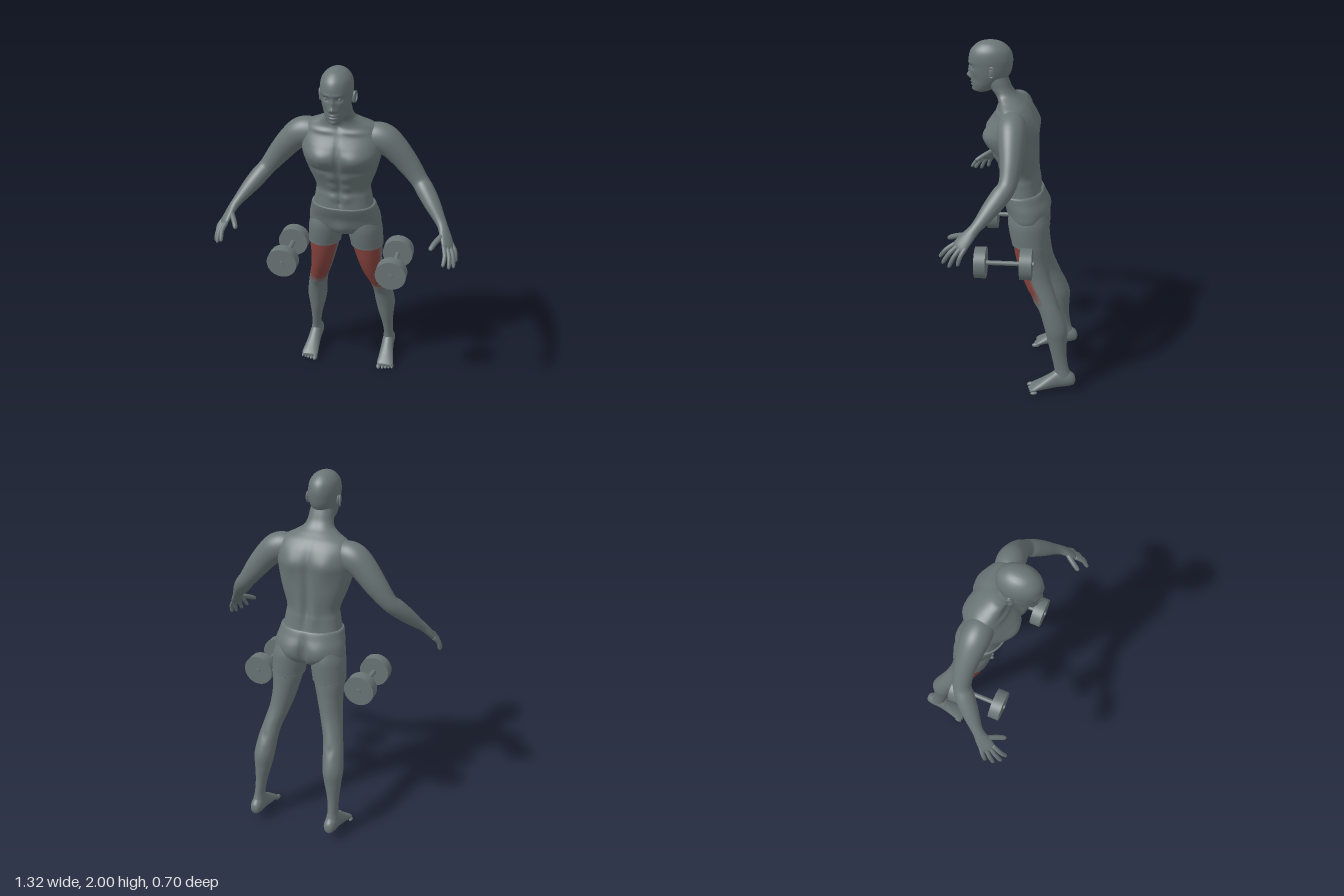
import * as THREE from 'three';

const mat = (name, color) => Object.assign(new THREE.MeshStandardMaterial({ color }), { name });
const V3 = (a) => new THREE.Vector3(...a);
const clamp01 = (v) => Math.min(1, Math.max(0, v));

// Catmull-Rom interpolation of section rows [x, y, z, halfWidth, halfDepth]
function refine(rows, steps) {
  const out = [], at = (i) => rows[Math.min(rows.length - 1, Math.max(0, i))];
  for (let i = 0; i < rows.length - 1; i++) {
    const [p, q, r, s] = [at(i - 1), at(i), at(i + 1), at(i + 2)];
    for (let k = 0; k < steps; k++) {
      const t = k / steps;
      out.push(q.map((_, c) => {
        const v = q[c] + 0.5 * t * (r[c] - p[c] + t * (2 * p[c] - 5 * q[c] + 4 * r[c] - s[c]
          + t * (3 * (q[c] - r[c]) + s[c] - p[c])));
        return c > 2 ? Math.max(0.001, v) : v;
      }));
    }
  }
  out.push(rows[rows.length - 1]);
  return out;
}

// Smooth skin over elliptical sections. With axis, sections are parallel; otherwise they follow the path.
function loft(rows, { axis, ref = [1, 0, 0], n = 32, steps = 5, e = 2, bumps = [], pick } = {}) {
  const rings = refine(rows, steps), m = rings.length, pos = [], buckets = [[], [], [], []];
  const sp = (v) => Math.sign(v) * Math.abs(v) ** (2 / e);
  rings.forEach((r, i) => {
    const T = axis ? V3(axis) : V3(rings[Math.min(m - 1, i + 1)]).sub(V3(rings[Math.max(0, i - 1)])).normalize();
    const U = V3(ref).addScaledVector(T, -V3(ref).dot(T)).normalize();
    const W = T.clone().cross(U);
    for (let j = 0; j < n; j++) {
      const a = (j / n) * Math.PI * 2, s = Math.sin(a);
      const p = V3(r).addScaledVector(U, r[3] * sp(Math.cos(a))).addScaledVector(W, r[4] * sp(s));
      // muscle and face relief: [side, x, y, spreadX, spreadY, push]
      let dz = 0;
      for (const [side, bx, by, sx, sy, d] of bumps) {
        const g = Math.exp(-(((Math.abs(p.x) - bx) / sx) ** 2) - ((p.y - by) / sy) ** 2);
        dz += side * d * g * clamp01(s * side * 2.5);
      }
      pos.push(p.x, p.y, p.z + dz);
    }
  });
  for (let i = 0; i < m - 1; i++) for (let j = 0; j < n; j++) {
    const k = (j + 1) % n, a = i * n + j, b = i * n + k;
    const slot = pick ? pick(Math.sin(((j + 0.5) / n) * Math.PI * 2), rings[i][1]) : 0;
    buckets[slot].push(a, b, a + n, b, b + n, a + n);
  }
  // end caps
  const c0 = m * n;
  pos.push(...rings[0].slice(0, 3), ...rings[m - 1].slice(0, 3));
  for (let j = 0; j < n; j++) {
    const k = (j + 1) % n, l = (m - 1) * n;
    buckets[0].push(c0, k, j, c0 + 1, l + j, l + k);
  }
  const g = new THREE.BufferGeometry();
  g.setAttribute('position', new THREE.Float32BufferAttribute(pos, 3));
  g.setIndex(buckets.flat());
  let start = 0;
  if (pick) buckets.forEach((b, i) => { g.addGroup(start, b.length, i); start += b.length; });
  g.computeVertexNormals();
  return g;
}

// Copy reflected in x, with corner order restored
function mirrored(geo) {
  const g = geo.clone().scale(-1, 1, 1), ix = g.index;
  for (let i = 0; i < ix.count; i += 3) {
    const t = ix.getX(i);
    ix.setX(i, ix.getX(i + 1));
    ix.setX(i + 1, t);
  }
  g.computeVertexNormals();
  return g;
}

const ball = (r, p, s = [1, 1, 1], rot = 0) =>
  new THREE.SphereGeometry(r, 20, 14).scale(...s).rotateX(rot).translate(...p);
const digit = (a, b, c, r) => loft(
  [[...a, r, r], [...b, r, r], [...V3(b).lerp(V3(c), 0.8).toArray(), r * 0.85, r * 0.85], [...c, 0.002, 0.002]],
  { ref: [0.3, 0.2, 1], n: 12, steps: 4 });

export function createModel() {
  const model = new THREE.Group();
  model.name = 'figure';
  const skin = mat('greySkin', 0x6a7576);
  const tints = [skin, mat('faintRed', 0x716664), mat('midRed', 0x7a5450), mat('muscleRed', 0x84423d)];
  const add = (name, geo, material = skin) => {
    const mesh = new THREE.Mesh(geo, material);
    mesh.name = name;
    model.add(mesh);
  };
  const both = (name, geo, material) => {
    add(name + 'Left', geo, material);
    add(name + 'Right', mirrored(geo), material);
  };
  const down = [0, -1, 0];

  // head, with brow, eye sockets, nose, lips and chin
  add('head', loft([
    [0, 2.0, 0.14, 0.002, 0.002], [0, 1.995, 0.14, 0.027, 0.04], [0, 1.98, 0.14, 0.053, 0.073],
    [0, 1.95, 0.14, 0.075, 0.103], [0, 1.91, 0.14, 0.083, 0.115], [0, 1.87, 0.14, 0.081, 0.113],
    [0, 1.83, 0.143, 0.076, 0.105], [0, 1.79, 0.155, 0.065, 0.089], [0, 1.76, 0.17, 0.052, 0.069],
    [0, 1.735, 0.188, 0.034, 0.042], [0, 1.725, 0.193, 0.012, 0.015],
  ], { axis: down, n: 88, steps: 8, bumps: [
    [1, 0, 1.84, 0.01, 0.026, 0.01], [1, 0, 1.815, 0.013, 0.012, 0.018], [1, 0.014, 1.808, 0.008, 0.008, 0.008],
    [1, 0.033, 1.866, 0.018, 0.012, -0.013], [1, 0.03, 1.888, 0.026, 0.008, 0.005],
    [1, 0, 1.782, 0.022, 0.005, 0.007], [1, 0, 1.766, 0.02, 0.005, 0.007], [1, 0, 1.774, 0.024, 0.003, -0.005],
    [1, 0, 1.74, 0.02, 0.012, 0.008], [1, 0.05, 1.8, 0.016, 0.02, -0.006],
  ] }));
  both('eye', ball(0.012, [0.033, 1.866, 0.224]));
  both('ear', ball(0.03, [0.083, 1.848, 0.128], [0.35, 1.05, 0.6], -0.2));
  both('earRim', new THREE.TorusGeometry(0.021, 0.005, 8, 24).scale(0.75, 1.25, 1)
    .rotateY(Math.PI / 2 - 0.3).translate(0.091, 1.85, 0.128));

  // torso and neck, with chest, abdominal and back relief
  const abs = [1.25, 1.315, 1.38].map((y) => [1, 0.038, y, 0.026, 0.024, 0.009]);
  add('torso', loft([
    [0, 1.84, 0.12, 0.058, 0.055], [0, 1.79, 0.103, 0.066, 0.058], [0, 1.75, 0.085, 0.071, 0.056],
    [0, 1.72, 0.062, 0.085, 0.056], [0, 1.695, 0.04, 0.125, 0.064], [0, 1.665, 0.022, 0.18, 0.08],
    [0, 1.62, 0.015, 0.21, 0.105], [0, 1.56, 0.02, 0.216, 0.133], [0, 1.5, 0.025, 0.21, 0.138],
    [0, 1.4, 0.008, 0.184, 0.122], [0, 1.3, -0.01, 0.15, 0.1], [0, 1.25, -0.014, 0.154, 0.104],
    [0, 1.17, -0.02, 0.168, 0.115],
  ], { axis: down, n: 128, steps: 10, e: 2.25, bumps: [
    [1, 0.095, 1.5, 0.075, 0.055, 0.026], [1, 0, 1.51, 0.012, 0.09, -0.012], [1, 0.1, 1.455, 0.012, 0.01, 0.005],
    [1, 0.1, 1.425, 0.06, 0.014, -0.008], ...abs, [1, 0, 1.3, 0.008, 0.1, -0.006],
    [1, 0, 1.215, 0.01, 0.012, -0.01], [1, 0, 1.665, 0.02, 0.02, -0.012], [1, 0.085, 1.64, 0.06, 0.012, 0.006],
    [-1, 0, 1.42, 0.022, 0.2, -0.016], [-1, 0.1, 1.54, 0.05, 0.07, 0.012], [-1, 0.045, 1.28, 0.03, 0.08, 0.01],
  ] }));

  // arm down to the palm
  const across = [0.5, -0.1, -0.85];
  both('arm', loft([
    [0.1, 1.595, 0.02, 0.05, 0.05], [0.16, 1.597, 0.018, 0.07, 0.076], [0.22, 1.587, 0.012, 0.076, 0.08],
    [0.28, 1.538, 0.008, 0.068, 0.072], [0.35, 1.455, 0.005, 0.056, 0.062], [0.415, 1.372, 0.017, 0.047, 0.048],
    [0.455, 1.328, 0.05, 0.05, 0.047], [0.5, 1.275, 0.095, 0.045, 0.041], [0.545, 1.22, 0.143, 0.033, 0.029],
    [0.568, 1.19, 0.172, 0.03, 0.024], [0.588, 1.155, 0.205, 0.039, 0.02], [0.605, 1.12, 0.235, 0.042, 0.016],
    [0.612, 1.104, 0.249, 0.035, 0.009],
  ], { ref: across, n: 40, steps: 6 }));
  [[0.595, 1.05, 0.342], [0.625, 1.03, 0.325], [0.647, 1.02, 0.29], [0.653, 1.032, 0.245]].forEach((tip, i) => {
    const base = V3([0.603, 1.123, 0.232]).addScaledVector(V3(across), -0.033 + 0.022 * i);
    const mid = base.clone().lerp(V3(tip), 0.5).add(V3([0.008, 0.008, 0.004]));
    both('finger' + (i + 1), digit(base.toArray(), mid.toArray(), tip, 0.0115));
  });
  both('thumb', digit([0.575, 1.168, 0.21], [0.543, 1.145, 0.262], [0.52, 1.12, 0.308], 0.014));

  // shorts: hips with waistband and two legs
  add('shortsHips', loft([
    [0, 1.188, -0.02, 0.165, 0.113], [0, 1.183, -0.021, 0.177, 0.123], [0, 1.15, -0.033, 0.186, 0.124],
    [0, 1.1, -0.052, 0.199, 0.12], [0, 1.04, -0.06, 0.2, 0.108], [0, 1.0, -0.062, 0.15, 0.085],
    [0, 0.975, -0.064, 0.06, 0.04],
  ], { axis: down, n: 80, steps: 7, e: 2.2, bumps: [
    [-1, 0.085, 1.06, 0.06, 0.06, 0.016], [-1, 0, 1.06, 0.016, 0.08, -0.03], [1, 0, 1.04, 0.04, 0.045, 0.014],
  ] }));
  both('shortsLeg', loft([
    [0.1, 1.12, -0.055, 0.075, 0.09], [0.11, 1.04, -0.063, 0.094, 0.108], [0.115, 0.98, -0.068, 0.097, 0.107],
    [0.122, 0.915, -0.075, 0.093, 0.1], [0.123, 0.904, -0.076, 0.093, 0.099], [0.124, 0.9, -0.077, 0.082, 0.088],
  ], { axis: down, n: 48 }));

  // legs, red over the front thigh muscle
  const pick = (front, y) => y > 0.905 ? 0
    : Math.round(3 * clamp01((front - 0.15) / 0.4) * clamp01((y - 0.555) / 0.085));
  both('leg', loft([
    [0.115, 1.0, -0.065, 0.085, 0.093], [0.125, 0.9, -0.078, 0.085, 0.092], [0.136, 0.8, -0.092, 0.071, 0.087],
    [0.155, 0.7, -0.118, 0.061, 0.077], [0.183, 0.6, -0.163, 0.055, 0.066], [0.2, 0.52, -0.2, 0.056, 0.063],
    [0.212, 0.42, -0.23, 0.058, 0.063], [0.217, 0.34, -0.241, 0.047, 0.055], [0.225, 0.25, -0.253, 0.033, 0.044],
    [0.231, 0.17, -0.268, 0.028, 0.041], [0.232, 0.12, -0.28, 0.034, 0.046], [0.233, 0.075, -0.287, 0.03, 0.045],
  ], { axis: down, n: 56, steps: 10, pick, bumps: [
    [1, 0.19, 0.565, 0.024, 0.028, 0.008], [1, 0.17, 0.63, 0.02, 0.03, 0.006], [-1, 0.2, 0.54, 0.02, 0.03, -0.006],
    [-1, 0.212, 0.43, 0.04, 0.06, 0.005],
  ] }), tints);
  both('foot', loft([
    [0.232, 0.085, -0.352, 0.004, 0.004], [0.232, 0.088, -0.343, 0.025, 0.031], [0.232, 0.093, -0.31, 0.036, 0.049],
    [0.233, 0.09, -0.25, 0.037, 0.059], [0.235, 0.067, -0.2, 0.04, 0.046], [0.238, 0.045, -0.15, 0.046, 0.03],
    [0.24, 0.03, -0.115, 0.05, 0.02], [0.24, 0.024, -0.095, 0.043, 0.01],
  ], { axis: [0, 0, 1], n: 36, steps: 5 }));
  for (let i = 0; i < 5; i++) {
    const r = i ? 0.0105 - i * 0.0004 : 0.0145, x = i ? 0.208 + i * 0.019 : 0.203;
    both('toe' + (i + 1), ball(r, [x, r + 0.002, -0.095 - 0.005 * i], [1, 1, i ? 2.3 : 1.8], 0.15));
  }

  // dumbbells lying front to back beside the thighs
  const rod = (r, z0, z1) => new THREE.CylinderGeometry(r, r, z1 - z0, 48)
    .rotateX(Math.PI / 2).translate(0.305, 0.87, (z0 + z1) / 2);
  both('dumbbellBar', rod(0.013, -0.113, 0.213));
  both('dumbbellRearWeight', rod(0.085, -0.102, -0.037));
  both('dumbbellFrontWeight', rod(0.085, 0.144, 0.205));

  return model;
}
